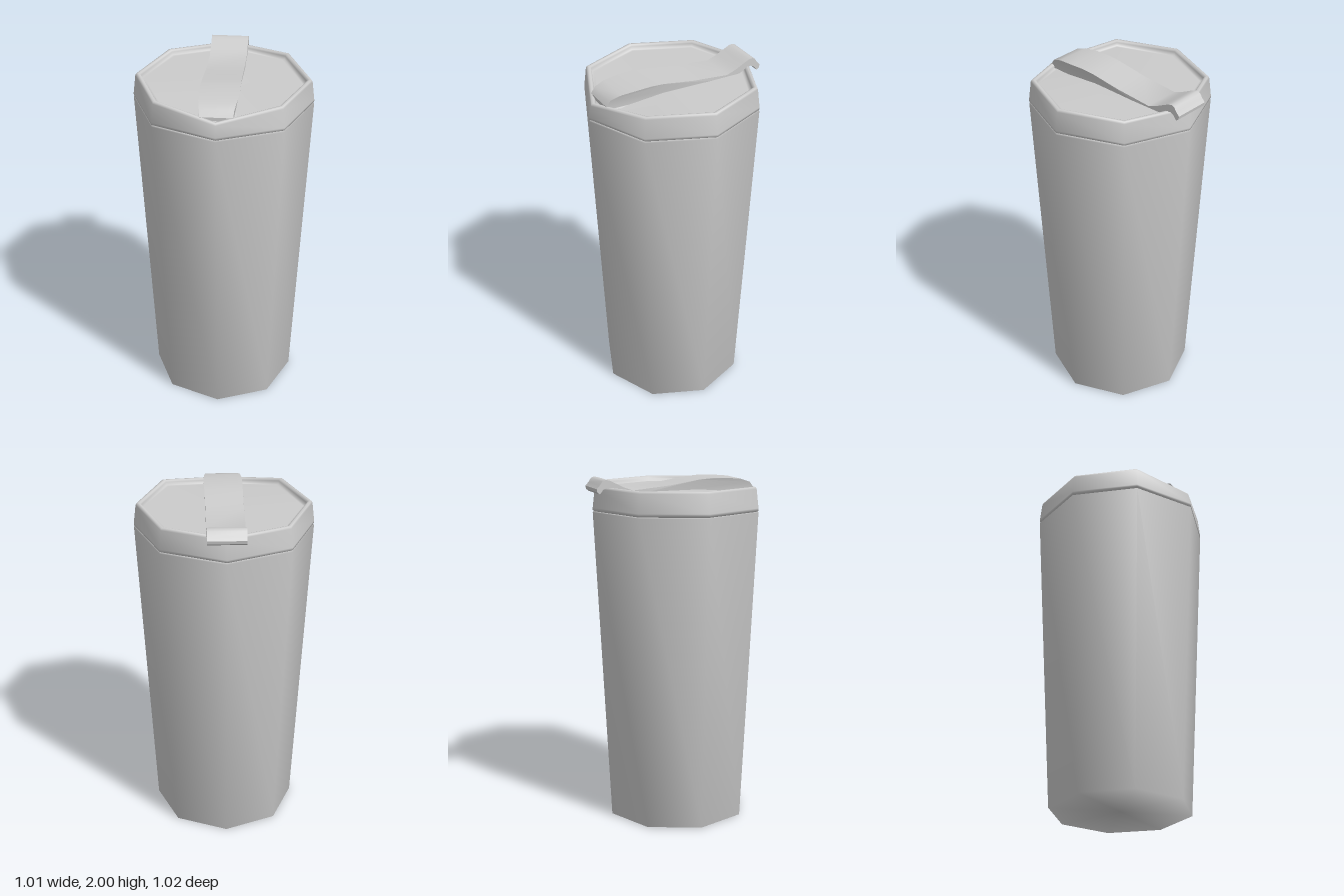
import * as THREE from 'three';
import { mergeVertices, toCreasedNormals } from 'three/addons/utils/BufferGeometryUtils.js';

const material = new THREE.MeshStandardMaterial({ color: 0xcccccc });

function part(name, geometry) {
  const mesh = new THREE.Mesh(geometry, material);
  mesh.name = name;
  return mesh;
}

// Eight-sided turned form with smooth shared normals; rule may move each vertex
function octagonLathe(profile, rule) {
  let g = new THREE.LatheGeometry(profile.map(([r, y]) => new THREE.Vector2(r, y)), 8);
  g.deleteAttribute('uv');
  g.deleteAttribute('normal');
  g = mergeVertices(g, 1e-4);
  const p = g.attributes.position;
  if (rule) {
    for (let i = 0; i < p.count; i++) p.setY(i, rule(p.getX(i), p.getY(i), p.getZ(i)));
  }
  g.computeVertexNormals();
  return g;
}

// Strap side profile (z, y) pulled across the lid
function strapGeometry() {
  const outline = [
    [0.445, 1.905], [0.445, 1.925], [0.42, 1.957], [0.36, 1.977], [0.27, 1.985], [0.18, 1.988],
    [0.1, 1.982], [0, 1.967], [-0.08, 1.955], [-0.3, 1.935],
    [-0.36, 1.957], [-0.41, 1.982], [-0.44, 1.996], [-0.462, 2.0], [-0.48, 1.992],
    [-0.495, 1.97], [-0.513, 1.95], [-0.51, 1.932], [-0.495, 1.92],
    [-0.475, 1.945], [-0.455, 1.955], [-0.43, 1.95], [-0.33, 1.9], [0.36, 1.9],
  ];
  const shape = new THREE.Shape(outline.map(([z, y]) => new THREE.Vector2(z, y)));
  let g = new THREE.ExtrudeGeometry(shape, { depth: 0.212, bevelEnabled: false });
  g.translate(0, 0, -0.106);
  g.rotateY(-Math.PI / 2);
  // Slight swell near the front, then a taper to the tip
  const p = g.attributes.position;
  for (let i = 0; i < p.count; i++) {
    const z = p.getZ(i);
    const s = z > 0.3 ? 1.05 - (z - 0.3) * 1.4 : 1 + Math.max(0, z) / 0.3 * 0.05;
    p.setX(i, p.getX(i) * s);
  }
  g.deleteAttribute('normal');
  g.deleteAttribute('uv');
  return toCreasedNormals(g, 0.65);
}

export function createModel() {
  const group = new THREE.Group();
  group.name = 'travelCup';

  // Tapered body with a closed base
  group.add(part('body', octagonLathe([[0, 0], [0.41, 0], [0.505, 1.81], [0.49, 1.815], [0, 1.815]])));

  // Lid with raised rim and recessed top, dipping at the front corner
  const lid = [
    [0, 1.813], [0.49, 1.813], [0.505, 1.822], [0.505, 1.835], [0.492, 1.942], [0.487, 1.953],
    [0.476, 1.955], [0.466, 1.952], [0.46, 1.943], [0.457, 1.925], [0.44, 1.925], [0, 1.925],
  ];
  const dip = (x, y, z) => (z > 0.42 && y > 1.9 ? y - 0.042 : y);
  group.add(part('lid', octagonLathe(lid, dip)));

  // Strap with hooked thumb tab at the back
  group.add(part('lidStrap', strapGeometry()));
  return group;
}
